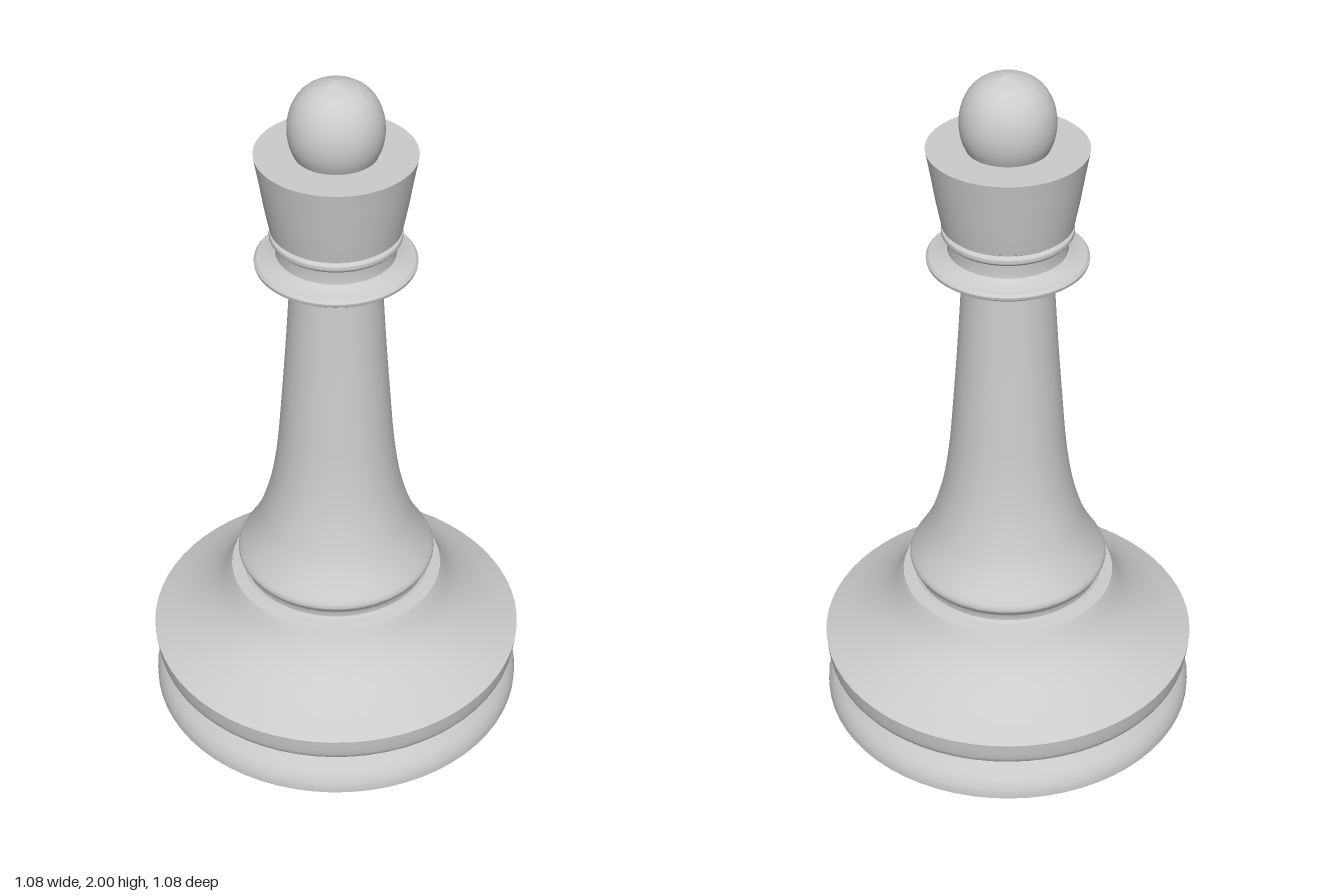
import * as THREE from 'three';
import { toCreasedNormals } from 'three/addons/utils/BufferGeometryUtils.js';

const SEGMENTS = 64;
const material = new THREE.MeshStandardMaterial({ color: 0xcccccc });
const toPoints = (pairs) => pairs.map(([r, y]) => new THREE.Vector2(r, y));

// Smooth curve through [radius, height] pairs, returned as pairs
const curve = (pairs, steps) =>
  new THREE.SplineCurve(toPoints(pairs)).getPoints(steps).map((p) => [p.x, p.y]);

// Turned part from [radius, height] pairs listed bottom to top
function turned(name, pairs) {
  const lathe = new THREE.LatheGeometry(toPoints(pairs), SEGMENTS);
  const mesh = new THREE.Mesh(toCreasedNormals(lathe, 0.5), material);
  mesh.name = name;
  return mesh;
}

export function createModel() {
  const model = new THREE.Group();
  model.name = 'chessQueen';

  // Foot with a rounded edge, a groove and a wide band
  const foot = turned('foot', [
    [0, 0], [0.54, 0],
    ...curve([[0.54, 0.02], [0.53, 0.05], [0.505, 0.085], [0.49, 0.105]], 8),
    [0.487, 0.115], [0.505, 0.12],
    ...curve([[0.525, 0.128], [0.533, 0.145], [0.54, 0.2]], 6),
  ]);

  // Concave slope above the foot, ending in a narrow ledge
  const slope = turned('slope', [
    ...curve([[0.54, 0.2], [0.46, 0.24], [0.39, 0.29], [0.34, 0.345], [0.305, 0.412]], 14),
    [0.27, 0.417],
  ]);

  // Grooved collar under the stem
  const collar = turned('collar', [
    [0.27, 0.417], [0.264, 0.425],
    ...curve([[0.264, 0.435], [0.268, 0.448], [0.28, 0.462], [0.284, 0.475], [0.279, 0.488]], 10),
  ]);

  // Tapering stem
  const stem = turned('stem', curve([
    [0.279, 0.488], [0.245, 0.545], [0.216, 0.61], [0.185, 0.72], [0.165, 0.85],
    [0.152, 1.0], [0.137, 1.2], [0.122, 1.44],
  ], 28));

  // Thin flange with a domed upper face
  const flange = turned('flange', [
    [0.1, 1.435], [0.15, 1.437], [0.208, 1.45],
    ...curve([[0.217, 1.457], [0.219, 1.466], [0.212, 1.474]], 4),
    [0.18, 1.481], [0.165, 1.492], [0.1, 1.492],
  ]);

  // Neck with a small ring
  const neck = turned('neck', [
    [0.163, 1.485], [0.161, 1.5], [0.163, 1.53],
    ...curve([[0.17, 1.534], [0.177, 1.543], [0.176, 1.554], [0.167, 1.56]], 6),
    [0.167, 1.567],
  ]);

  // Flared crown with a flat top
  const crown = turned('crown', [
    [0.167, 1.562], [0.176, 1.568], [0.19, 1.64], [0.202, 1.715], [0.215, 1.79], [0, 1.79],
  ]);

  // Ball with a slightly peaked top
  const ball = turned('finial', curve([
    [0.108, 1.785], [0.122, 1.82], [0.127, 1.865], [0.119, 1.912],
    [0.095, 1.955], [0.055, 1.983], [0, 2.0],
  ], 18));

  model.add(foot, slope, collar, stem, flange, neck, crown, ball);
  return model;
}
